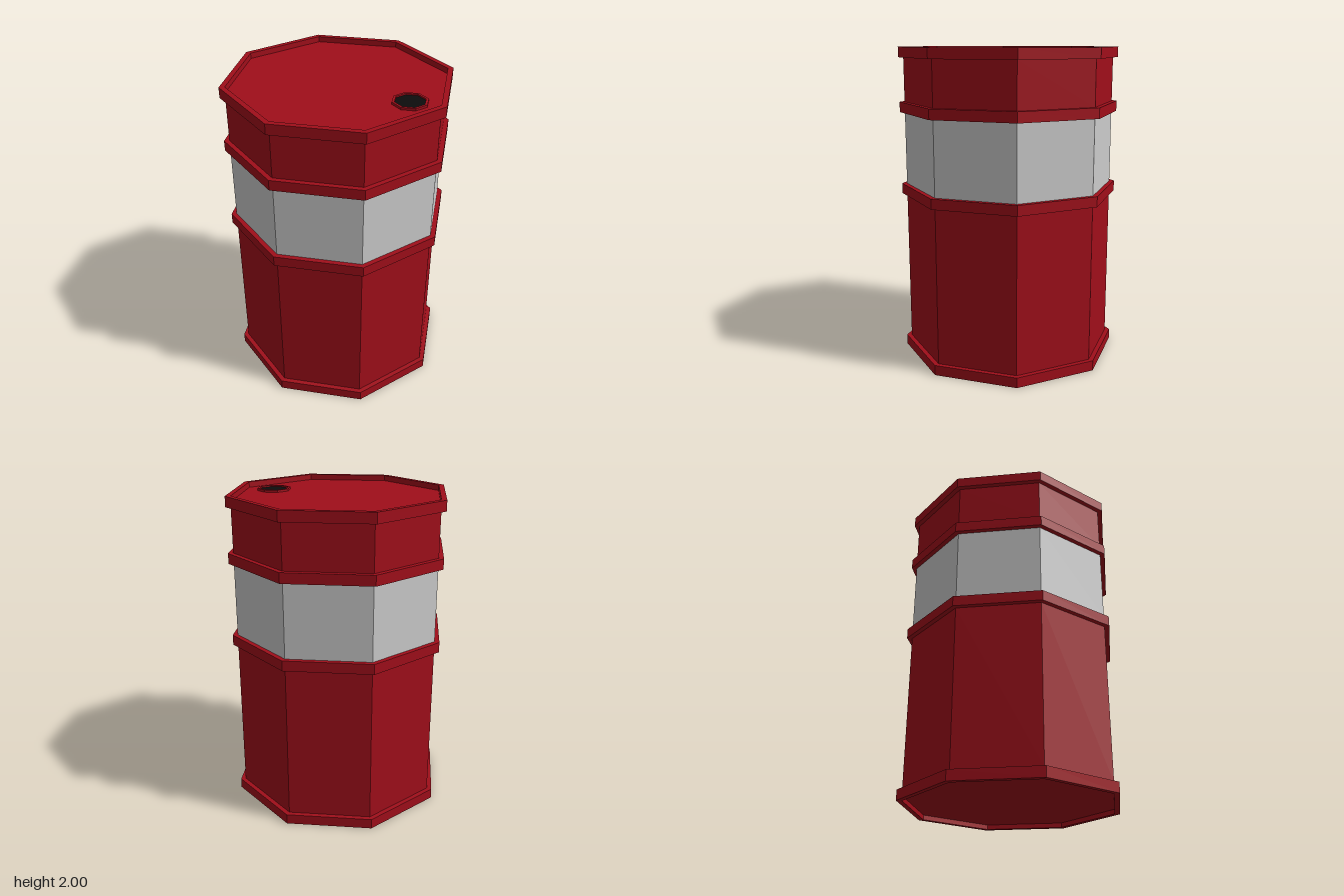
import * as THREE from 'three';

const SIDES = 8;
const BODY_R = 0.67, RING_R = 0.702, LIP_R = 0.667;
const LID_Y = 1.965, BASE_Y = 0.03;

const paint = (color) => new THREE.MeshStandardMaterial({ color, flatShading: true });

// Eight-sided surface turned from a profile of [radius, height], listed bottom to top on the outside
function turned(name, profile, material) {
  const points = profile.map(([r, y]) => new THREE.Vector2(r, y));
  const mesh = new THREE.Mesh(new THREE.LatheGeometry(points, SIDES), material);
  mesh.name = name;
  return mesh;
}

export function createModel() {
  const drum = new THREE.Group();
  drum.name = 'drum';
  const red = paint(0xa00e1a);
  const grey = paint(0xcccccc);
  const black = paint(0x0d0d0d);

  // Wall panels between the hoops
  drum.add(
    turned('lowerWall', [[BODY_R, 0.065], [BODY_R, 1.06]], red),
    turned('paintedBand', [[BODY_R, 1.125], [BODY_R, 1.59]], grey),
    turned('upperWall', [[BODY_R, 1.655], [BODY_R, 1.935]], red),
  );

  // Two hoops around the wall
  [['middleHoop', 1.06], ['upperHoop', 1.59]].forEach(([name, y]) => {
    drum.add(turned(name, [
      [BODY_R, y], [RING_R, y], [RING_R, y + 0.065], [BODY_R, y + 0.065],
    ], red));
  });

  // Recessed base and lid, each with its raised lip
  drum.add(
    turned('base', [
      [0, BASE_Y], [LIP_R, BASE_Y], [LIP_R, 0], [RING_R, 0],
      [RING_R, 0.065], [BODY_R, 0.065],
    ], red),
    turned('lid', [
      [BODY_R, 1.935], [RING_R, 1.935], [RING_R, 2], [LIP_R, 2],
      [LIP_R, LID_Y], [0, LID_Y],
    ], red),
  );

  // Filler opening on the lid
  const filler = new THREE.Group();
  filler.name = 'filler';
  filler.position.set(0.475, LID_Y, 0);
  filler.add(
    turned('fillerRim', [[0.108, 0], [0.108, 0.014], [0.092, 0.014], [0.092, 0.004]], red),
    turned('fillerHole', [[0.092, 0.005], [0, 0.005]], black),
  );
  drum.add(filler);

  return drum;
}
